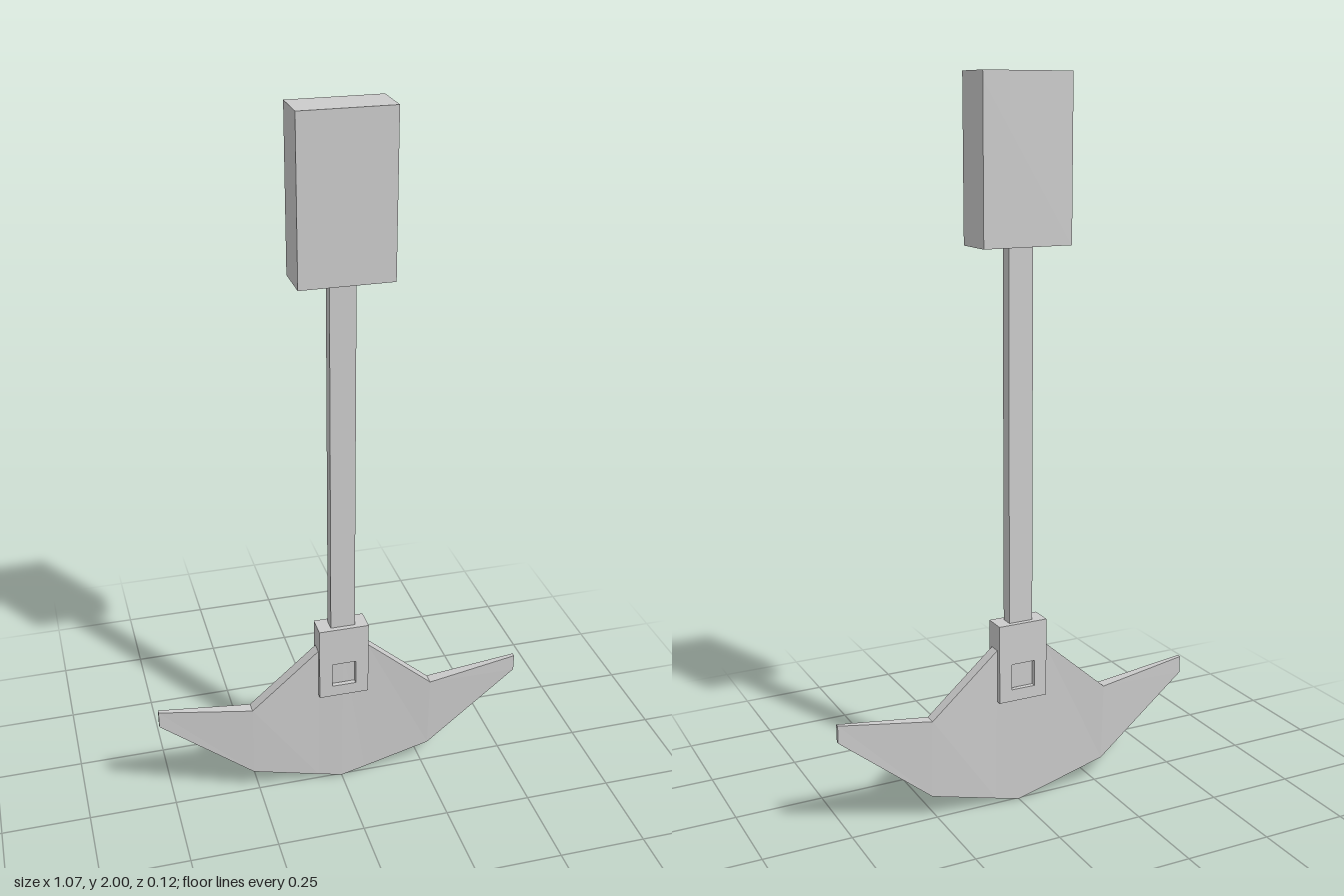
import * as THREE from 'three';

const material = new THREE.MeshStandardMaterial({ color: 0xcccccc, flatShading: true });

function addMesh(parent, name, geometry, x = 0, y = 0, z = 0) {
  const mesh = new THREE.Mesh(geometry, material);
  mesh.name = name;
  mesh.position.set(x, y, z);
  parent.add(mesh);
  return mesh;
}

// Rectangle with a rectangular hole, extruded along z
function framedPlate(w, h, holeW, holeH, holeY, depth) {
  const rect = (path, rw, rh, cy) => path
    .moveTo(-rw / 2, cy - rh / 2).lineTo(rw / 2, cy - rh / 2)
    .lineTo(rw / 2, cy + rh / 2).lineTo(-rw / 2, cy + rh / 2).closePath();
  const shape = new THREE.Shape();
  rect(shape, w, h, 0);
  const hole = new THREE.Path();
  rect(hole, holeW, holeH, holeY);
  shape.holes.push(hole);
  return new THREE.ExtrudeGeometry(shape, { depth, bevelEnabled: false });
}

// Blade skinned through four-cornered cross-sections, thinner at the tips and cutting edge
function bladeGeometry() {
  // x, top y, bottom y, half thickness at top, half thickness at bottom
  const half = [
    [0.072, 0.467, 0.018, 0.017, 0.006],
    [0.267, 0.297, 0.07, 0.017, 0.007],
    [0.533, 0.335, 0.285, 0.006, 0.005],
  ];
  const sections = [
    ...half.map(([x, ...rest]) => [-x, ...rest]).reverse(),
    [0, 0.467, 0, 0.017, 0.006],
    ...half,
  ];
  const positions = [];
  const index = [];
  for (const [x, top, bottom, t, b] of sections) {
    positions.push(x, top, t, x, bottom, b, x, bottom, -b, x, top, -t);
  }
  for (let i = 0; i < sections.length - 1; i++) {
    for (let j = 0; j < 4; j++) {
      const a = i * 4 + j, b = i * 4 + (j + 1) % 4;
      index.push(a, b, b + 4, a, b + 4, a + 4);
    }
  }
  const e = (sections.length - 1) * 4;
  index.push(0, 3, 2, 0, 2, 1, e, e + 1, e + 2, e, e + 2, e + 3);
  const geometry = new THREE.BufferGeometry();
  geometry.setAttribute('position', new THREE.Float32BufferAttribute(positions, 3));
  geometry.setIndex(index);
  const flat = geometry.toNonIndexed();
  flat.computeVertexNormals();
  return flat;
}

export function createModel() {
  const model = new THREE.Group();
  model.name = 'pendulumBlade';

  // Hollow housing, open underneath
  const housing = new THREE.Group();
  housing.name = 'housing';
  model.add(housing);
  const sleeve = framedPlate(0.252, 0.12, 0.202, 0.07, 0, 0.415);
  sleeve.rotateX(-Math.PI / 2);
  addMesh(housing, 'housingWalls', sleeve, 0, 1.565, 0);
  addMesh(housing, 'housingTop', new THREE.BoxGeometry(0.252, 0.02, 0.12), 0, 1.99, 0);

  // Rod from the housing ceiling down into the clamp
  addMesh(model, 'rod', new THREE.BoxGeometry(0.07, 1.46, 0.035), 0, 1.25, 0);

  // Clamp: solid head with a windowed cheek on each side of the blade
  const clamp = new THREE.Group();
  clamp.name = 'clamp';
  model.add(clamp);
  addMesh(clamp, 'clampHead', new THREE.BoxGeometry(0.144, 0.073, 0.036), 0, 0.5035, 0);
  for (const [name, z] of [['frontCheek', 0.018], ['backCheek', -0.032]]) {
    addMesh(clamp, name, framedPlate(0.144, 0.224, 0.07, 0.074, -0.041, 0.014), 0, 0.428, z);
  }

  addMesh(model, 'blade', bladeGeometry());
  return model;
}
